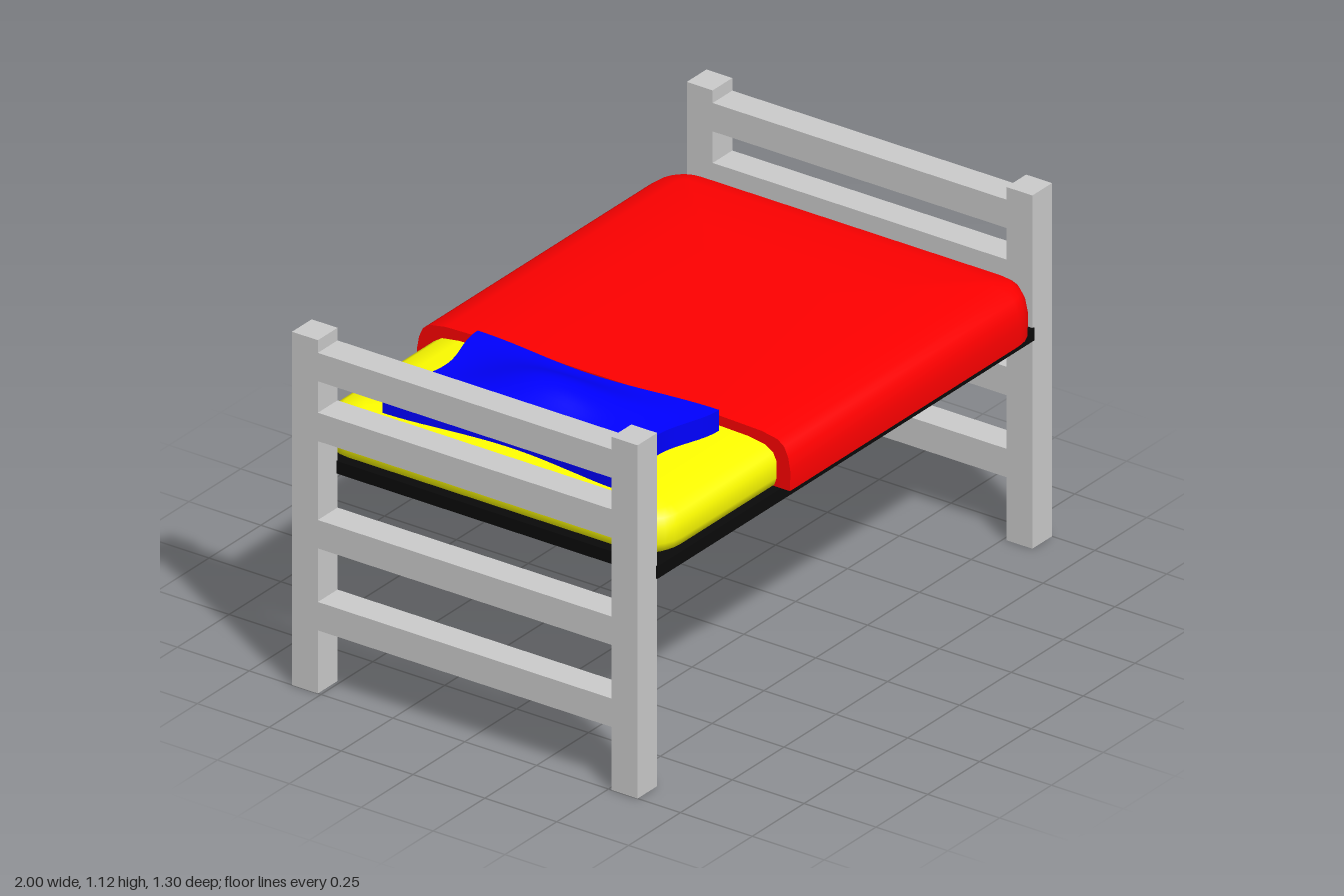
import * as THREE from 'three';
import { toCreasedNormals } from 'three/addons/utils/BufferGeometryUtils.js';

const mat = (color) => new THREE.MeshStandardMaterial({ color });
const grey = mat(0xcccccc), black = mat(0x0a0a0a);
const yellow = mat(0xffff00), red = mat(0xff0000), blue = mat(0x0000ff);

function add(parent, name, geometry, material, x = 0, y = 0, z = 0) {
  const mesh = new THREE.Mesh(geometry, material);
  mesh.name = name;
  mesh.position.set(x, y, z);
  parent.add(mesh);
}

// Plan outline with rounded corners; a square head edge stays at x0 whatever the inset
function outline(x0, x1, halfZ, r, inset, squareHead) {
  const pts = [], rad = Math.max(r - inset, 0.03), hz = halfZ - inset;
  [[1, 1], [-1, 1], [-1, -1], [1, -1]].forEach(([sx, sz], k) => {
    if (sx < 0 && squareHead) { pts.push([x0, sz * hz]); return; }
    const cx = sx > 0 ? x1 - inset - rad : x0 + inset + rad;
    for (let i = 0; i <= 6; i++) {
      const a = (k + i / 6) * Math.PI / 2;
      pts.push([cx + rad * Math.cos(a), sz * (hz - rad) + rad * Math.sin(a)]);
    }
  });
  return pts;
}

// Soft slab lofted through [inset, y] rings, capped at both ends
function slab(x0, x1, halfZ, r, profile, squareHead) {
  const pos = [], idx = [];
  let n = 0;
  for (const [inset, y] of profile) {
    const ring = outline(x0, x1, halfZ, r, inset, squareHead);
    n = ring.length;
    ring.forEach(([x, z]) => pos.push(x, y, z));
  }
  const last = profile.length - 1, bottom = n * profile.length, top = bottom + 1;
  const mid = (x0 + x1) / 2;
  pos.push(mid, profile[0][1], 0, mid, profile[last][1], 0);
  for (let j = 0; j < n; j++) {
    const k = (j + 1) % n;
    for (let i = 0; i < last; i++) {
      const a = i * n + j, b = i * n + k;
      idx.push(a, a + n, b, b, a + n, b + n);
    }
    idx.push(bottom, j, k, top, last * n + k, last * n + j);
  }
  const g = new THREE.BufferGeometry();
  g.setAttribute('position', new THREE.Float32BufferAttribute(pos, 3));
  g.setIndex(idx);
  return toCreasedNormals(g, 0.9);
}

// Pillow: a box with pinched sides and a puffed top
function pillowGeometry() {
  const g = new THREE.BoxGeometry(2, 1, 2, 24, 2, 32);
  const p = g.attributes.position;
  const bell = (t) => Math.cos(t * Math.PI / 2) ** 2;
  for (let i = 0; i < p.count; i++) {
    const u = p.getX(i), v = p.getZ(i), h = p.getY(i) + 0.5;
    p.setXYZ(i,
      0.23 * u * (1 - 0.14 * bell(v)),
      h * (0.07 + 0.07 * bell(u) * bell(v)),
      0.42 * v * (1 - 0.12 * bell(u)));
  }
  g.computeVertexNormals();
  return g;
}

// Bed base: a thin board with slots that leave slats between them
function baseGeometry() {
  const rect = (T, x, y, w, h) => {
    const s = new T();
    s.moveTo(x, y); s.lineTo(x + w, y); s.lineTo(x + w, y + h); s.lineTo(x, y + h);
    s.closePath();
    return s;
  };
  const board = rect(THREE.Shape, -0.91, -0.605, 1.82, 1.21);
  for (let i = 0; i < 8; i++) {
    board.holes.push(rect(THREE.Path, -0.825 + i * 0.22, -0.53, 0.11, 1.06));
  }
  const g = new THREE.ExtrudeGeometry(board, { depth: 0.04, bevelEnabled: false });
  return g.rotateX(-Math.PI / 2);
}

export function createModel() {
  const bed = new THREE.Group();
  bed.name = 'bed';

  // Head and foot ends: two posts and four rails each
  for (const [side, name] of [[-1, 'headboard'], [1, 'footboard']]) {
    const end = new THREE.Group();
    end.name = name;
    end.position.x = side * 0.9525;
    for (const s of [-1, 1]) {
      add(end, 'post', new THREE.BoxGeometry(0.095, 1.12, 0.09), grey, 0, 0.56, s * 0.556);
    }
    for (const y of [0.245, 0.505, 0.845, 1.035]) {
      add(end, 'rail', new THREE.BoxGeometry(0.095, 0.09, 1.022), grey, 0, y, 0);
    }
    bed.add(end);
  }

  add(bed, 'slattedBase', baseGeometry(), black, 0, 0.66, 0);

  add(bed, 'mattress', slab(-0.905, 0.9, 0.602, 0.12, [
    [0.03, 0.701], [0.008, 0.715], [0, 0.74], [0, 0.79], [0.012, 0.815],
    [0.04, 0.833], [0.1, 0.842], [0.3, 0.848],
  ], false), yellow);

  add(bed, 'blanket', slab(-0.33, 0.906, 0.65, 0.13, [
    [0.002, 0.71], [0, 0.77], [0.008, 0.815], [0.022, 0.845],
    [0.045, 0.862], [0.1, 0.872], [0.3, 0.878],
  ], true), red);

  add(bed, 'pillow', pillowGeometry(), blue, -0.585, 0.84, 0);

  return bed;
}
